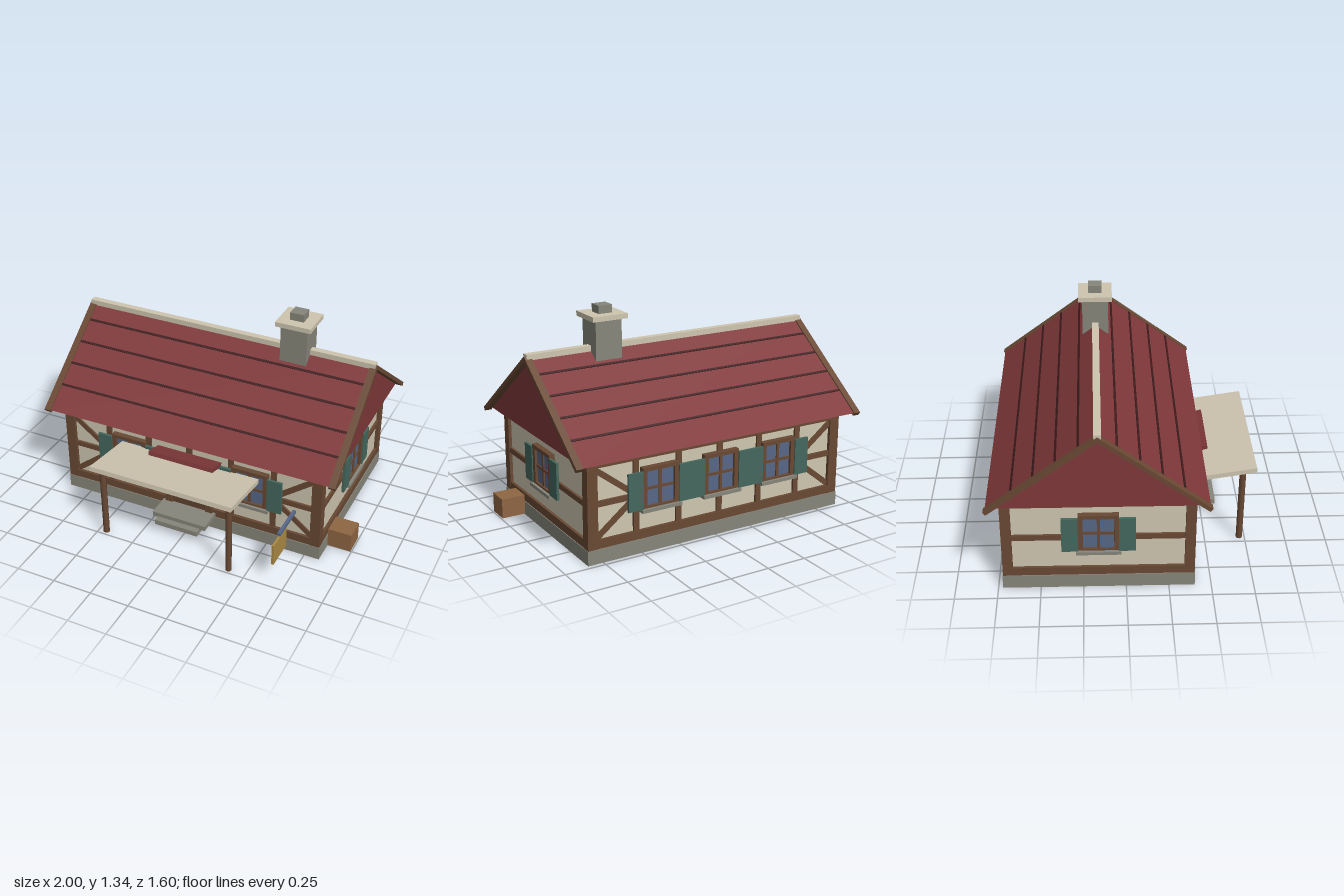
import * as THREE from 'three';

const mat = (name, color) => {
  const m = new THREE.MeshStandardMaterial({ color });
  m.name = name;
  return m;
};

export function createModel() {
  const plaster = mat('plaster cream', 0xcfc6b0);
  const timber = mat('timber brown', 0x694934);
  const doorWood = mat('door brown', 0x60432f);
  const roofRed = mat('roof red', 0x7f383a);
  const seamRed = mat('dark seam red', 0x3e1b1c);
  const stone = mat('stone grey', 0x86867b);
  const glass = mat('slate blue', 0x566787);
  const green = mat('shutter green', 0x44685e);
  const gold = mat('sign gold', 0xab8a43);
  const crateWood = mat('crate wood', 0x8f6643);

  const model = new THREE.Group();
  model.name = 'cottage';

  // Box given by its low and high limits on each axis
  const box = (parent, name, material, [x0, x1], [y0, y1], [z0, z1]) => {
    const mesh = new THREE.Mesh(new THREE.BoxGeometry(x1 - x0, y1 - y0, z1 - z0), material);
    mesh.position.set((x0 + x1) / 2, (y0 + y1) / 2, (z0 + z1) / 2);
    mesh.name = name;
    parent.add(mesh);
    return mesh;
  };
  const group = (parent, name, x = 0, y = 0, z = 0) => {
    const g = new THREE.Group();
    g.name = name;
    g.position.set(x, y, z);
    parent.add(g);
    return g;
  };

  const HX = 0.8725, HZ = 0.56;           // half size of the house
  const house = group(model, 'house', -0.03, 0, -0.16);

  // Foundation, plaster core and corner posts
  box(house, 'foundation', stone, [-HX - 0.003, HX + 0.003], [0, 0.087], [-HZ - 0.003, HZ + 0.003]);
  box(house, 'plasterWalls', plaster, [-HX + 0.02, HX - 0.02], [0.08, 0.612], [-HZ + 0.02, HZ - 0.02]);
  for (const sx of [-1, 1]) for (const sz of [-1, 1]) {
    const x = sx * (HX - 0.0325), z = sz * (HZ - 0.03);
    box(house, 'cornerPost', timber, [x - 0.0325, x + 0.0325], [0.087, 0.612], [z - 0.03, z + 0.03]);
  }

  // Window with shutters and sill; the wall plane is local z = 0
  const addWindow = (wall, x) => {
    const w = group(wall, 'window', x, 0, 0);
    box(w, 'glassPane', glass, [-0.1, 0.1], [0.27, 0.5], [-0.03, -0.004]);
    box(w, 'frameTop', timber, [-0.118, 0.118], [0.493, 0.516], [-0.03, 0.015]);
    box(w, 'frameBottom', timber, [-0.118, 0.118], [0.262, 0.283], [-0.03, 0.012]);
    box(w, 'mullion', timber, [-0.009, 0.009], [0.28, 0.495], [-0.03, 0.004]);
    box(w, 'crossBar', timber, [-0.092, 0.092], [0.378, 0.394], [-0.03, 0.003]);
    box(w, 'sill', stone, [-0.13, 0.13], [0.251, 0.271], [-0.03, 0.03]);
    for (const s of [-1, 1]) {
      const f = s * 0.104, h = s * 0.166;
      box(w, 'frameSide', timber, [f - 0.014, f + 0.014], [0.27, 0.5], [-0.03, 0.012]);
      box(w, 'shutter', green, [h - 0.048, h + 0.048], [0.27, 0.497], [0.003, 0.019]);
    }
  };

  // Timber framed wall facing local +z
  const addWall = (name, angle, half, out, windows, framed) => {
    const pivot = group(house, name);
    pivot.rotation.y = angle;
    const wall = group(pivot, 'timberFrame', 0, 0, out);
    const inner = half - 0.06, beam = [-inner, inner];
    box(wall, 'topPlate', timber, beam, [0.566, 0.612], [-0.03, -0.002]);
    box(wall, 'midRail', timber, beam, [0.335, 0.369], [-0.03, -0.005]);
    box(wall, 'bottomSill', timber, beam, [0.087, 0.139], [-0.03, -0.002]);
    if (framed) {
      for (let i = -2; i <= 2; i++)
        box(wall, 'stud', timber, [i * 0.28 - 0.018, i * 0.28 + 0.018], [0.13, 0.57], [-0.03, -0.007]);
      // Diagonal braces meeting at the outer studs
      for (const s of [-1, 1]) for (const [yo, yi] of [[0.55, 0.37], [0.15, 0.335]]) {
        const dx = 0.235, dy = yo - yi;
        const brace = new THREE.Mesh(new THREE.BoxGeometry(Math.hypot(dx, dy), 0.034, 0.02), timber);
        brace.position.set(s * (0.575 + dx / 2), (yo + yi) / 2, -0.019);
        brace.rotation.z = s * Math.atan2(dy, dx);
        brace.name = 'brace';
        wall.add(brace);
      }
    }
    windows.forEach((x) => addWindow(wall, x));
    return wall;
  };
  const front = addWall('frontWall', 0, HX, HZ, [-0.41, 0.41], true);
  addWall('backWall', Math.PI, HX, HZ, [-0.41, 0, 0.41], true);
  addWall('leftWall', Math.PI / 2, HZ, HX, [0], false);
  addWall('rightWall', -Math.PI / 2, HZ, HX, [0], false);

  // Door
  const door = group(front, 'door');
  box(door, 'doorPanel', doorWood, [-0.115, 0.115], [0.11, 0.43], [-0.03, 0.002]);
  box(door, 'doorRail', timber, [-0.115, 0.115], [0.335, 0.365], [-0.01, 0.006]);
  box(door, 'doorLintel', timber, [-0.163, 0.163], [0.425, 0.447], [-0.03, 0.012]);
  for (const s of [-1, 1])
    box(door, 'doorJamb', timber, [s * 0.138 - 0.024, s * 0.138 + 0.024], [0.11, 0.43], [-0.03, 0.012]);

  // Roof prism with dark course seams
  const eaveY = 0.612, apexY = 1.08, halfZ = 0.63, roofX = 0.93;
  const tri = new THREE.Shape([[-halfZ, eaveY], [halfZ, eaveY], [0, apexY]].map((p) => new THREE.Vector2(...p)));
  const prism = new THREE.ExtrudeGeometry(tri, { depth: roofX * 2, bevelEnabled: false });
  prism.translate(0, 0, -roofX).rotateY(Math.PI / 2);
  const roof = new THREE.Mesh(prism, roofRed);
  roof.name = 'roof';
  house.add(roof);
  const slope = Math.atan2(apexY - eaveY, halfZ), run = Math.hypot(apexY - eaveY, halfZ);
  for (const [name, angle] of [['frontRoof', 0], ['backRoof', Math.PI]]) {
    const side = group(house, name);
    side.rotation.y = angle;
    const plane = group(side, 'slope', 0, apexY, 0);
    plane.rotation.x = slope;              // local +z now runs down the slope
    for (const d of [0.105, 0.232, 0.357, 0.482]) {
      const z = d / Math.cos(slope);
      box(plane, 'courseSeam', seamRed, [-roofX, roofX], [-0.01, 0.004], [z - 0.007, z + 0.007]);
    }
    for (const s of [-1, 1]) {
      const x = s * (roofX + 0.021);
      box(plane, 'bargeBoard', timber, [x - 0.0215, x + 0.0215], [-0.018, 0.007], [-0.004, run + 0.006]);
    }
  }
  box(house, 'ridgeCap', plaster, [-0.965, 0.965], [1.066, 1.1], [-0.021, 0.021]);

  // Chimney
  const chimney = group(model, 'chimney', 0.44, 0, -0.16);
  box(chimney, 'chimneyStack', stone, [-0.085, 0.085], [0.95, 1.26], [-0.082, 0.082]);
  box(chimney, 'chimneyCap', plaster, [-0.113, 0.113], [1.257, 1.287], [-0.106, 0.106]);
  box(chimney, 'chimneyPot', stone, [-0.044, 0.044], [1.287, 1.335], [-0.042, 0.042]);

  // Porch: tilted canopy, small red awning, two posts
  const tilted = (name, material, x0, x1, y, z, length, thick, angle) => {
    const m = box(model, name, material, [x0, x1], [y - thick / 2, y + thick / 2], [z - length / 2, z + length / 2]);
    m.rotation.x = angle;
  };
  tilted('porchCanopy', plaster, -0.49, 0.44, 0.491, 0.602, 0.395, 0.03, -0.155);
  tilted('redAwning', roofRed, -0.24, 0.19, 0.517, 0.458, 0.125, 0.027, -0.27);
  for (const x of [-0.45, 0.39]) {
    const post = new THREE.Mesh(new THREE.CylinderGeometry(0.02, 0.02, 0.488, 8), timber);
    post.position.set(x, 0.244, 0.717);
    post.name = 'porchPost';
    model.add(post);
  }

  // Door steps
  box(model, 'upperStep', stone, [-0.21, 0.15], [0.083, 0.116], [0.38, 0.55]);
  box(model, 'lowerStep', stone, [-0.175, 0.115], [0.058, 0.09], [0.508, 0.59]);

  // Hanging sign
  box(model, 'signBracket', glass, [0.66, 0.68], [0.29, 0.31], [0.39, 0.63]);
  box(model, 'signBoard', gold, [0.662, 0.677], [0.14, 0.28], [0.525, 0.715]);

  // Crate beside the wall
  box(model, 'crate', crateWood, [0.845, 0.995], [0.005, 0.128], [0.122, 0.258]);

  return model;
}
